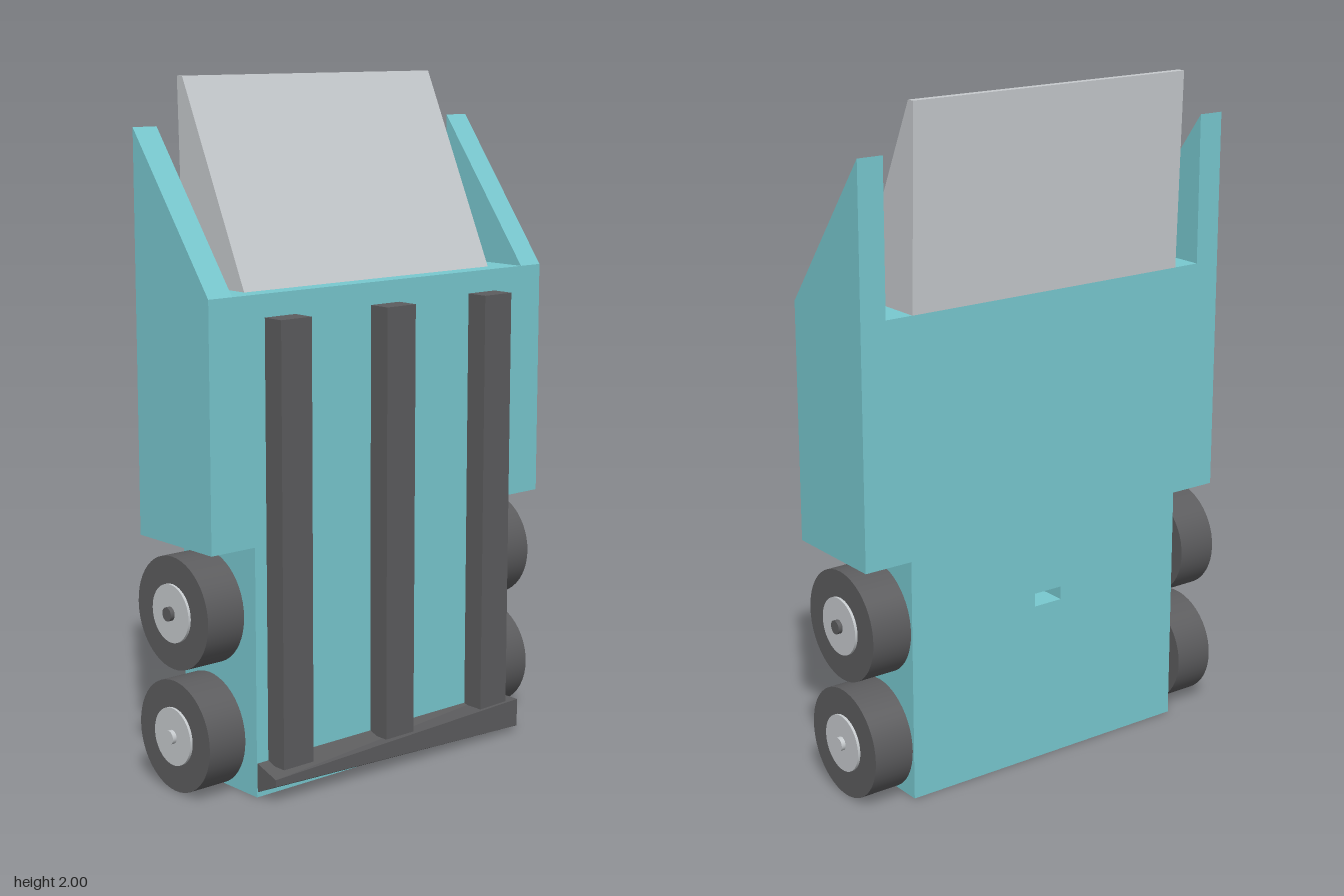
import * as THREE from 'three';

const mat = (name, color) => {
  const m = new THREE.MeshStandardMaterial({ color });
  m.name = name;
  return m;
};

export function createModel() {
  const teal = mat('teal', 0x78c8cf);
  const grey = mat('light grey', 0xc6cacd);
  const dark = mat('dark grey', 0x5c5c5e);
  const root = new THREE.Group();
  root.name = 'wheeledCart';

  const add = (name, geo, material, x = 0, y = 0, z = 0) => {
    const m = new THREE.Mesh(geo, material);
    m.name = name;
    m.position.set(x, y, z);
    root.add(m);
    return m;
  };
  const polygon = (pts) => new THREE.Shape(pts.map(([x, y]) => new THREE.Vector2(x, y)));
  const extrude = (shape, depth) => new THREE.ExtrudeGeometry(shape, { depth, bevelEnabled: false });
  // Extrudes a (z, y) outline along x, centred on x = 0
  const sideProfile = (pts, width) =>
    extrude(polygon(pts.map(([z, y]) => [-z, y])), width).rotateY(Math.PI / 2).translate(-width / 2, 0, 0);

  const zF = 0.136, zB = -0.193, zMid = -0.1;

  // Body: narrow base under a wider top, with a slot cut in the back
  const bodyShape = () => polygon([
    [-0.48, 0], [0.48, 0], [0.48, 0.725], [0.63, 0.725],
    [0.63, 1.425], [-0.63, 1.425], [-0.63, 0.725], [-0.48, 0.725],
  ]);
  add('bodyFront', extrude(bodyShape(), zF - zMid), teal, 0, 0, zMid);
  const backShape = bodyShape();
  backShape.holes.push(new THREE.Path([
    [-0.048, 0.485], [-0.048, 0.525], [0.048, 0.525], [0.048, 0.485],
  ].map(([x, y]) => new THREE.Vector2(x, y))));
  add('bodyBack', extrude(backShape, zMid - zB), teal, 0, 0, zB);

  // Sloping cheeks on top, left and right
  const cheek = sideProfile([[zF, 1.425], [zB, 1.425], [zB, 1.865]], 0.08);
  for (const s of [-1, 1]) add(s > 0 ? 'leftCheek' : 'rightCheek', cheek, teal, s * 0.59);

  // Wedge-shaped headboard
  add('headboard', sideProfile(
    [[0.08, 1.425], [-0.194, 1.425], [-0.211, 2], [-0.187, 2]], 0.93), grey);

  // Vertical front rails
  for (const x of [-0.385, 0, 0.385]) {
    add('frontRail', new THREE.BoxGeometry(0.108, 1.27, 0.07), dark, x, 0.725, zF + 0.035);
  }
  add('railTab', new THREE.BoxGeometry(0.012, 0.06, 0.04), dark, 0.052, 0.205, zF + 0.02);

  // Bottom bumper, its front edge pinched at one end
  const bumper = new THREE.BoxGeometry(0.956, 0.085, 0.081).toNonIndexed();
  const p = bumper.attributes.position;
  for (let i = 0; i < p.count; i++) {
    if (p.getX(i) < 0 && p.getZ(i) > 0) p.setY(i, p.getY(i) > 0 ? 0.016 : -0.004);
  }
  bumper.computeVertexNormals();
  add('bumper', bumper, dark, 0, 0.0575, zF + 0.0405);

  // Two wheels on each side
  const cyl = (r, w) => new THREE.CylinderGeometry(r, r, w, 48).rotateZ(Math.PI / 2);
  const tyre = cyl(0.163, 0.125), hub = cyl(0.084, 0.141), axle = cyl(0.02, 0.172);
  for (const s of [-1, 1]) {
    for (const y of [0.525, 0.165]) {
      const upper = y > 0.3;
      add('tyre', tyre, dark, s * 0.5625, y, -0.053);
      add('hub', hub, grey, s * 0.5625, y, -0.053);
      add('axle', axle, upper ? dark : grey, s * 0.56, y, -0.053);
    }
  }
  return root;
}
